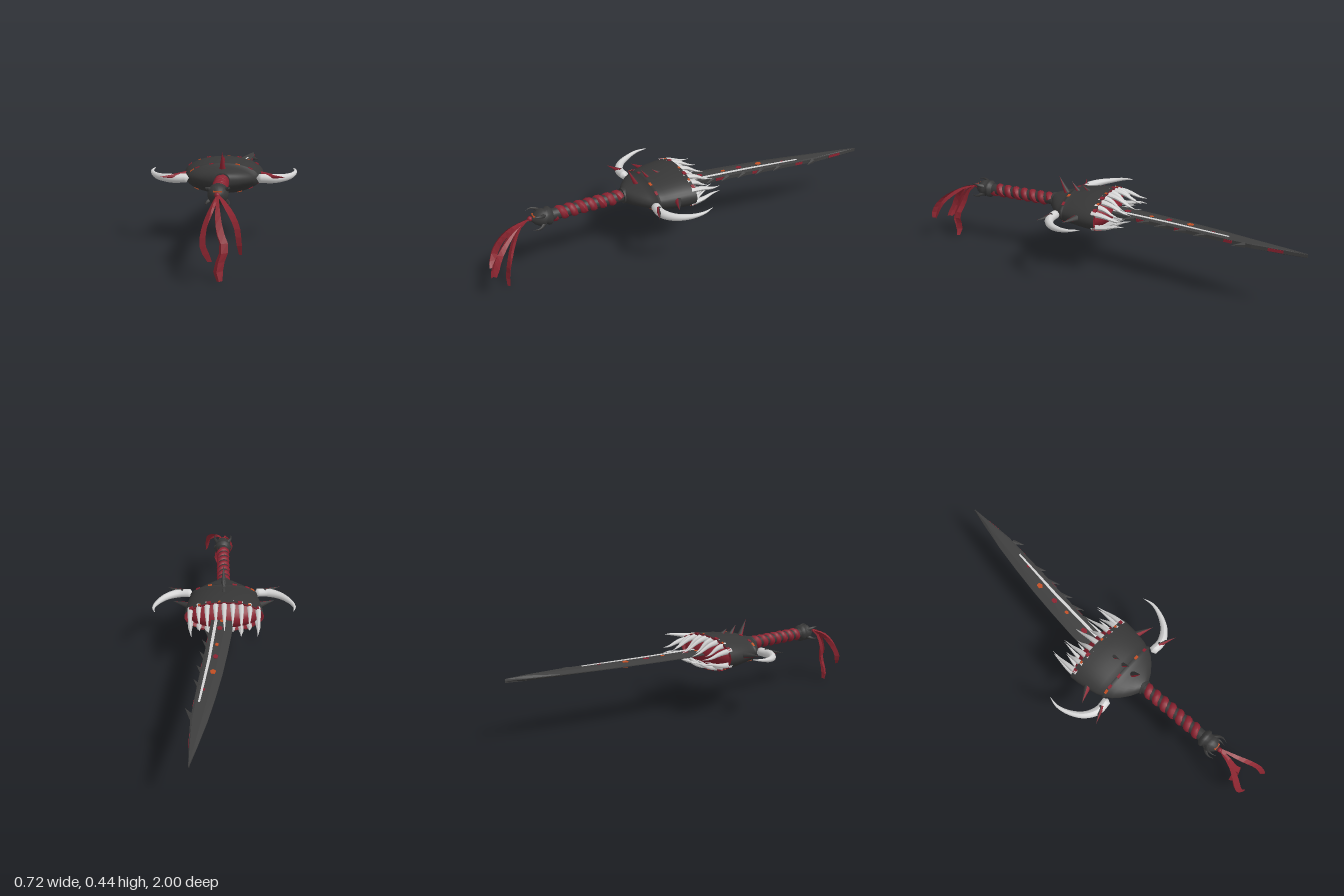
import * as THREE from 'three';

const MID = 0.313; // height of the sword's long axis
const mat = (name, color, extra = {}) => {
  const m = new THREE.MeshStandardMaterial({ color, ...extra });
  m.name = name;
  return m;
};
const V = (p) => new THREE.Vector3(p[0], p[1], p[2]);

// Skin between closed rings of points, listed with rising z
function loft(rings) {
  const n = rings[0].length, index = [];
  for (let i = 0; i < rings.length - 1; i++) {
    for (let j = 0; j < n; j++) {
      const a = i * n + j, b = i * n + (j + 1) % n;
      index.push(a, b, b + n, a, b + n, a + n);
    }
  }
  const g = new THREE.BufferGeometry();
  g.setAttribute('position', new THREE.Float32BufferAttribute(rings.flat(2), 3));
  g.setIndex(index);
  g.computeVertexNormals();
  return g;
}

function ellipse(z, a, b, n = 40) {
  return Array.from({ length: n }, (_, j) => {
    const t = j / n * Math.PI * 2;
    return [a * Math.cos(t), MID + b * Math.sin(t), z];
  });
}

// Tube along a smooth path whose radius follows a rule
function taperTube(points, radius, segments = 16, sides = 8) {
  const curve = new THREE.CatmullRomCurve3(points.map(V));
  const g = new THREE.TubeGeometry(curve, segments, 1, sides);
  const p = g.attributes.position, v = new THREE.Vector3();
  for (let i = 0; i < p.count; i++) {
    const u = Math.floor(i / (sides + 1)) / segments, c = curve.getPointAt(u);
    v.fromBufferAttribute(p, i).sub(c).multiplyScalar(radius(u)).add(c);
    p.setXYZ(i, v.x, v.y, v.z);
  }
  g.computeVertexNormals();
  return g;
}

// Cone, or a lengthwise slice of one, from a base point to a tip
function spike(from, to, r, sides = 6, start = 0, sweep = Math.PI * 2) {
  const a = V(from), d = V(to).sub(a), h = d.length();
  const g = new THREE.ConeGeometry(r, h, sides, 1, false, start, sweep).translate(0, h / 2, 0);
  g.applyQuaternion(new THREE.Quaternion().setFromUnitVectors(new THREE.Vector3(0, 1, 0), d.normalize()));
  return g.translate(a.x, a.y, a.z);
}

// Twisting cloth strip with a deep lengthwise fold
function ribbon(points, width, turn, twist) {
  const curve = new THREE.CatmullRomCurve3(points.map(V));
  const g = new THREE.PlaneGeometry(1, 1, 2, 10), p = g.attributes.position;
  for (let i = 0; i < p.count; i++) {
    const u = 0.5 - p.getY(i), s = p.getX(i), c = curve.getPointAt(u);
    const a = turn + twist * u, w = width * Math.min(1, 0.3 + u * 1.6) * (u > 0.95 ? 0.6 : 1);
    const fold = (0.125 - s * s) * w * 1.9;
    p.setXYZ(i, c.x + Math.cos(a) * s * w - Math.sin(a) * fold, c.y + s * w * 0.15,
      Math.min(1, c.z + Math.sin(a) * s * w + Math.cos(a) * fold));
  }
  g.computeVertexNormals();
  return g;
}

export function createModel() {
  const model = new THREE.Group();
  model.name = 'sword';
  const dark = mat('dark metal', 0x373737);
  const blade = mat('blade steel', 0x3e3e3e, { flatShading: true });
  const red = mat('red hide', 0x8a2230);
  const cloth = mat('red cloth', 0x8e2631, { side: THREE.DoubleSide, flatShading: true });
  const bone = mat('bone', 0xd2d2d2);
  const ember = mat('ember', 0xc04e24);
  const add = (name, geometry, material) => {
    const m = new THREE.Mesh(geometry, material);
    m.name = name;
    model.add(m);
    return m;
  };
  // Spike that is red in front and dark behind
  const twoToneSpike = (name, from, to, r) => {
    const sweep = Math.PI * 1.25;
    add(name + 'Front', spike(from, to, r, 5, -sweep / 2, sweep), red);
    add(name + 'Back', spike(from, to, r, 4, sweep / 2, Math.PI * 2 - sweep), dark);
  };

  // Oval guard with a raised seam, hollow towards the blade
  const guard = [[0, 0.198, 0.088], [0.05, 0.195, 0.088], [0.1, 0.188, 0.083],
    [0.15, 0.178, 0.075], [0.178, 0.167, 0.069], [0.18, 0.174, 0.073], [0.192, 0.172, 0.071], [0.195, 0.16, 0.06],
    [0.22, 0.145, 0.054], [0.25, 0.115, 0.047], [0.28, 0.075, 0.041], [0.3, 0.035, 0.033]];
  add('guard', loft(guard.map((s) => ellipse(...s))), dark);

  // Red lip and gum filling the mouth of the guard
  add('lip', loft([[0.02, 0.178, 0.074], [-0.002, 0.186, 0.08], [0, 0.198, 0.088]].map((s) => ellipse(...s))), red);
  add('gum', loft([[-0.045, 0.001, 0.001], [-0.04, 0.08, 0.028], [-0.02, 0.14, 0.052], [0.015, 0.182, 0.077]]
    .map((s) => ellipse(...s))), red);

  // Upper and lower rows of fangs
  for (const side of [1, -1]) {
    for (let i = 0; i < 9; i++) {
      const x = -0.168 + i * 0.042;
      const h = 0.082 * Math.sqrt(1 - (x / 0.192) ** 2);
      const len = i % 2 ? 0.1 : 0.15;
      add('fang', taperTube([[x, MID + side * h * 0.92, 0.02], [x, MID + side * h * 0.74, -len * 0.3],
        [x * 0.98, MID + side * h * 0.36, -len * 0.7], [x * 0.95, MID + side * 0.014, -len]],
      (u) => 0.0145 * (1 - u ** 1.5), 10, 6), bone);
    }
  }

  // Red and ember stains on the rim and on the seam
  const stain = (t, a, b, z, size, material) => {
    const m = add('guardStain', new THREE.BoxGeometry(...size), material);
    m.position.set(a * Math.cos(t), MID + b * Math.sin(t), z);
    m.rotation.z = Math.atan2(a * Math.sin(t), b * Math.cos(t));
  };
  for (const t of [0.6, 1.18, 1.97, 2.6, 3.7, 4.1, 5.3, 5.75]) {
    stain(t, 0.197, 0.087, 0.006, [0.009, 0.02, 0.016], red);
  }
  for (const t of [0.9, 1.45, 2.25, 3.9, 4.6, 5.55]) {
    stain(t, 0.1965, 0.087, 0.006, [0.006, 0.014, 0.01], ember);
  }
  for (const [t, m] of [[1.15, ember], [1.9, red], [2.35, red], [2.6, ember], [0.7, red], [5.2, ember], [5.6, red], [3.9, ember]]) {
    stain(t, 0.171, 0.071, 0.186, [0.006, 0.022, 0.0125], m);
  }

  // Curved blade: left and right edges against z
  const outline = [[-1, 0.147, 0.151], [-0.9, 0.118, 0.151], [-0.75, 0.077, 0.15], [-0.6, 0.043, 0.133],
    [-0.45, 0.013, 0.115], [-0.3, -0.012, 0.095], [-0.15, -0.034, 0.076], [0, -0.05, 0.06], [0.08, -0.055, 0.05]];
  const bladeRings = outline.map(([z, l, r]) => {
    const w = r - l, h = z < -0.95 ? 0.009 : 0.012, e = h * 0.75;
    return [[r, -e], [r, e], [r - w * 0.1, h], [l + w * 0.35, h], [l, e * 0.2],
      [l, -e * 0.2], [l + w * 0.35, -h], [r - w * 0.1, -h]].map(([x, y]) => [x, MID + y, z]);
  });
  add('blade', loft(bladeRings), blade);
  const tipCap = add('bladeTip', new THREE.BoxGeometry(0.004, 0.012, 0.002), blade);
  tipCap.position.set(0.149, MID, -0.999);

  // Inlaid strip and splashes on both faces of the blade
  const strip = new THREE.Shape([[0.028, 0], [0.043, 0], [0.08, 0.35], [0.119, 0.64], [0.11, 0.64], [0.066, 0.35]]
    .map((p) => new THREE.Vector2(...p)));
  add('bladeInlay', new THREE.ExtrudeGeometry(strip, { depth: 0.028, bevelEnabled: false })
    .rotateX(-Math.PI / 2).translate(0, MID - 0.014, 0), bone);
  for (const [x, z, s, m] of [[0.055, -0.44, 0.024, ember], [0.043, -0.33, 0.022, red], [0.022, -0.11, 0.024, red],
    [0.095, -0.56, 0.012, red], [0.037, -0.24, 0.016, ember], [0.012, -0.05, 0.016, ember]]) {
    const splash = add('splash', new THREE.CylinderGeometry(s * 0.6, s * 0.6, 0.0265, 5), m);
    splash.scale.z = 1.3;
    splash.position.set(x, MID, z);
  }

  // Red stains on the blunt right edge
  for (const [x, z, len, slope] of [[0.151, -0.86, 0.07, 0], [0.138, -0.64, 0.04, 0.115], [0.109, -0.4, 0.05, 0.127], [0.083, -0.2, 0.05, 0.127]]) {
    const m = add('edgeStain', new THREE.BoxGeometry(0.003, 0.014, len), red);
    m.position.set(x, MID, z);
    m.rotation.y = -slope;
  }

  // Barbs along the right edge of the blade
  for (const [x, z] of [[0.07, -0.16], [0.08, -0.24], [0.091, -0.33], [0.103, -0.43], [0.114, -0.53], [0.146, -0.72]]) {
    add('barb', spike([x, MID, z], [x + 0.028, MID, z + 0.055], 0.014, 5), blade);
  }

  // Horns and side spikes, mirrored
  for (const s of [1, -1]) {
    add('horn', taperTube([[0.16, 0.316, 0.21], [0.235, 0.314, 0.212], [0.295, 0.316, 0.178], [0.335, 0.322, 0.12],
      [0.353, 0.333, 0.055], [0.343, 0.342, 0]].map(([x, y, z]) => [s * x, y, z]),
    (u) => (u === 0 ? 0 : u < 0.25 ? 0.0215 : 0.0215 * Math.pow((1 - u) / 0.75, 0.75)), 28, 12), bone);
    twoToneSpike('sideSpike', [s * 0.17, MID + 0.005, 0.09], [s * 0.262, MID + 0.008, 0.132], 0.02);
    twoToneSpike('hornSpike', [s * 0.21, 0.324, 0.213], [s * 0.295, 0.326, 0.252], 0.014);
  }

  // Crest of spikes on top of the guard
  for (const [z, y, tipZ, tipY, r] of [[0.225, 0.358, 0.27, 0.446, 0.016], [0.16, 0.375, 0.2, 0.426, 0.013], [0.105, 0.388, 0.14, 0.414, 0.011]]) {
    twoToneSpike('crestSpike', [0, y, z], [0, tipY, tipZ], r);
  }

  // Grip core, collar and broad spiral wrap
  const rod = (name, r, z0, z1) => add(name, new THREE.CylinderGeometry(r, r, z1 - z0, 20)
    .rotateX(Math.PI / 2).translate(0, MID, (z0 + z1) / 2), dark);
  rod('gripCore', 0.028, 0.28, 0.68);
  rod('collar', 0.038, 0.283, 0.306);
  const turns = 7, helix = [];
  for (let i = 0; i <= turns * 8; i++) {
    const t = i / 8 * Math.PI * 2;
    helix.push([0.014 * Math.cos(t), MID + 0.014 * Math.sin(t), 0.318 + 0.338 * i / (turns * 8)]);
  }
  add('gripWrap', taperTube(helix, () => 0.022, turns * 14, 10), red);

  // Pommel with four small claws
  const profile = [[0.03, 0.66], [0.044, 0.672], [0.044, 0.685], [0.036, 0.692], [0.043, 0.705], [0.041, 0.722], [0.026, 0.745], [0.001, 0.765]];
  add('pommel', new THREE.LatheGeometry(profile.map(([r, z]) => new THREE.Vector2(r, z)), 20)
    .rotateX(Math.PI / 2).translate(0, MID, 0), dark);
  for (const sx of [1, -1]) {
    for (const sy of [1, -1]) {
      add('pommelClaw', taperTube([[sx * 0.026, MID + sy * 0.018, 0.705], [sx * 0.043, MID + sy * 0.028, 0.725],
        [sx * 0.047, MID + sy * 0.033, 0.745], [sx * 0.041, MID + sy * 0.03, 0.77]], (u) => 0.012 * (1 - u), 8, 6), dark);
    }
  }
  const pommelStain = add('pommelStain', new THREE.BoxGeometry(0.036, 0.006, 0.009), ember);
  pommelStain.position.set(0, MID + 0.019, 0.747);

  // Knot and three hanging ribbons
  const knot = add('ribbonKnot', new THREE.SphereGeometry(0.012, 10, 8), red);
  knot.position.set(0, 0.32, 0.765);
  add('ribbonLeft', ribbon([[0, 0.322, 0.76], [0.03, 0.298, 0.85], [0.078, 0.23, 0.94], [0.09, 0.175, 0.972], [0.097, 0.13, 0.985]], 0.04, 0.6, 1.0), cloth);
  add('ribbonMiddle', ribbon([[0, 0.325, 0.76], [0, 0.285, 0.82], [0.006, 0.2, 0.865], [0.028, 0.13, 0.893], [0.006, 0.05, 0.9], [0.014, 0.003, 0.905]], 0.04, 1.1, -0.9), cloth);
  add('ribbonRight', ribbon([[0, 0.322, 0.76], [-0.018, 0.285, 0.85], [-0.045, 0.21, 0.915], [-0.05, 0.15, 0.945], [-0.022, 0.097, 0.97]], 0.042, 2.2, -1.2), cloth);
  return model;
}
